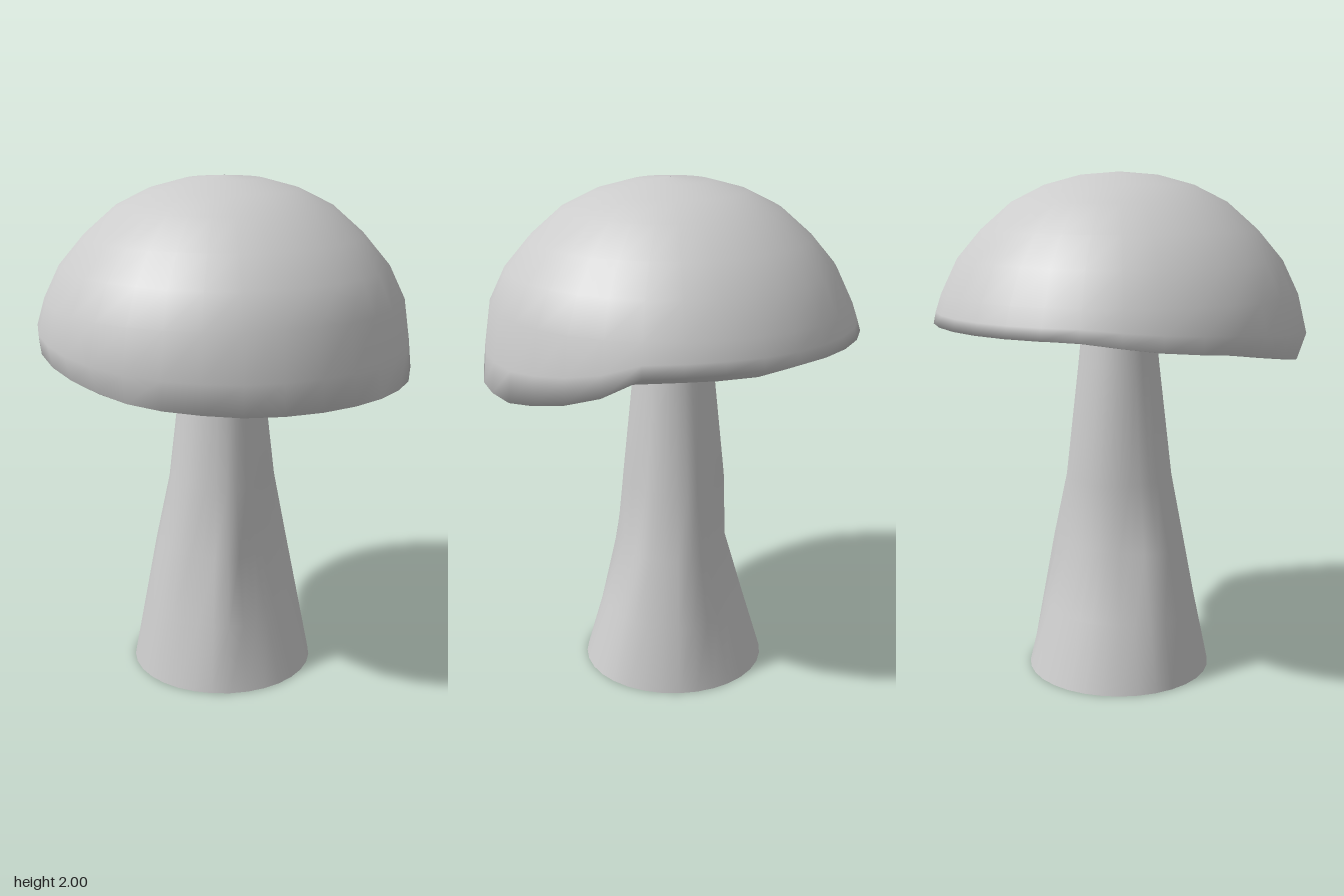
import * as THREE from 'three';

const SIDES = 32;

// Linear look-up in a short list of [key, value] pairs
function lookup(table, key) {
  for (let i = 1; i < table.length; i++) {
    const [k0, v0] = table[i - 1], [k1, v1] = table[i];
    if (key <= k1) return v0 + (v1 - v0) * (key - k0) / (k1 - k0);
  }
  return table[table.length - 1][1];
}

// Smooth skin over rings; each row maps an angle in degrees (0 = front, 90 = +x) to [radius, y]
function loft(name, rows, material, offsetZ = 0) {
  const pos = [], index = [];
  rows.forEach((row, i) => {
    for (let j = 0; j < SIDES; j++) {
      const deg = j * 360 / SIDES, a = deg * Math.PI / 180;
      const [r, y] = row(deg);
      pos.push(r * Math.sin(a), y, r * Math.cos(a) + offsetZ);
      if (i === 0) continue;
      const k = (j + 1) % SIDES, lo = (i - 1) * SIDES, hi = i * SIDES;
      index.push(lo + j, lo + k, hi + k, lo + j, hi + k, hi + j);
    }
  });
  const geo = new THREE.BufferGeometry();
  geo.setAttribute('position', new THREE.Float32BufferAttribute(pos, 3));
  geo.setIndex(index);
  geo.computeVertexNormals();
  const mesh = new THREE.Mesh(geo, material);
  mesh.name = name;
  return mesh;
}

export function createModel() {
  const group = new THREE.Group();
  group.name = 'mushroom';
  const mat = new THREE.MeshStandardMaterial({ color: 0xcccccc, side: THREE.DoubleSide });

  // Uneven rim: low at the front, high at the back and on the +x side
  const rimY = a => lookup([[0, 1.25], [25, 1.25], [45, 1.3], [58, 1.35], [68, 1.42], [90, 1.43],
    [180, 1.43], [205, 1.39], [225, 1.37], [270, 1.29], [285, 1.265], [315, 1.25], [360, 1.25]], a);
  const rimR = a => lookup([[0, 0.735], [90, 0.725], [180, 0.735], [235, 0.72], [270, 0.7],
    [300, 0.71], [330, 0.735], [360, 0.735]], a);
  const bulgeR = a => lookup([[0, 0.722], [90, 0.718], [180, 0.72], [270, 0.733], [360, 0.722]], a);

  // Lip turned in under the rim, cut by a few straight chords
  const lipR = a => lookup([[0, 0.71], [20, 0.62], [45, 0.52], [75, 0.58], [104, 0.69], [146, 0.59],
    [180, 0.715], [215, 0.68], [251, 0.7], [282, 0.69], [300, 0.64], [322, 0.61], [341, 0.63], [360, 0.71]], a);
  const lipY = a => lookup([[0, 1.25], [20, 1.265], [45, 1.32], [70, 1.36], [104, 1.4], [146, 1.415],
    [180, 1.425], [205, 1.385], [225, 1.365], [270, 1.285], [285, 1.26], [315, 1.25], [360, 1.25]], a);

  // Cap dome, lip to crown
  const dome = [[0.697, 1.54], [0.635, 1.668], [0.54, 1.78], [0.42, 1.885], [0.29, 1.95], [0.15, 1.988], [0.001, 2]];
  group.add(loft('capDome', [
    a => [lipR(a), lipY(a)],
    a => [rimR(a), rimY(a)],
    a => [bulgeR(a), rimY(a) * 0.6 + 1.54 * 0.4],
    ...dome.map(p => () => p),
  ], mat));

  // Hollow underside, centre to lip
  group.add(loft('capUnderside', [
    () => [0.001, 1.5],
    () => [0.14, 1.5],
    a => [0.43, lipY(a) * 0.6 + 1.48 * 0.4],
    a => [lipR(a), lipY(a)],
  ], mat));

  // Stem: blends between a straight taper (0) and a pinched flare (1) around its girth
  const pinch = a => lookup([[0, 1], [25, 1], [45, 0.1], [90, 0], [112, 0.8], [135, 1], [180, 0.9],
    [200, 0.8], [225, 0], [270, 0.05], [290, 0.3], [315, 0], [340, 0.9], [360, 1]], a);
  const stem = [[0, 0.37, 0.37], [0.26, 0.322, 0.29], [0.53, 0.272, 0.21],
    [0.8, 0.215, 0.206], [1.25, 0.162, 0.16], [1.51, 0.135, 0.135]];
  group.add(loft('stem', stem.map(([y, straight, pinched]) =>
    a => [straight + (pinched - straight) * pinch(a), y]), mat, -0.012));

  // Flat foot of the stem
  group.add(loft('stemBase', [() => [0.001, 0], () => [0.37, 0]], mat, -0.012));

  return group;
}
